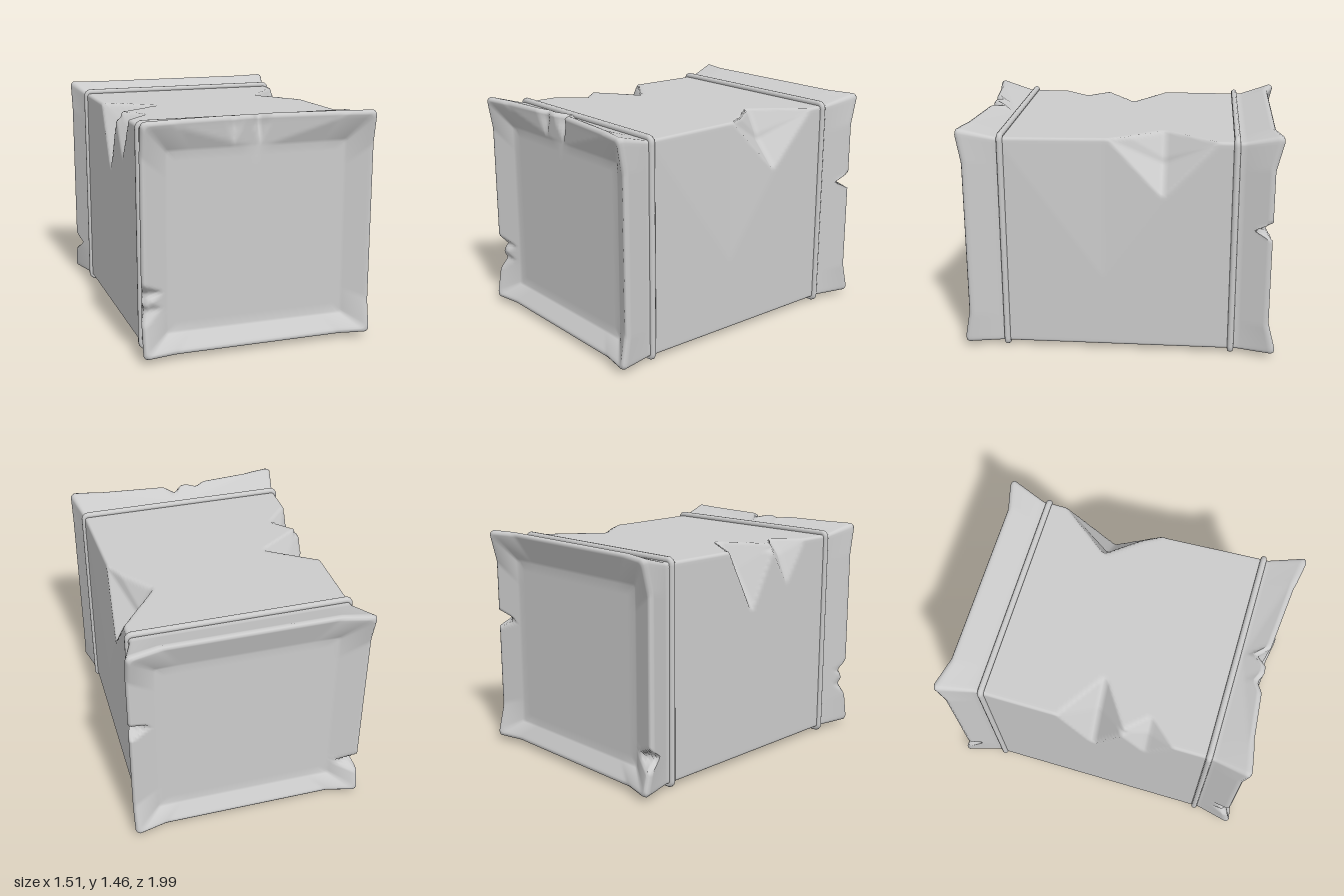
import * as THREE from 'three';

const ARC = 5, SIDE = 70; // samples per rounded corner and per straight side

// Rounded rectangle in xy, counter-clockwise, always the same number of points
function loop(x0, x1, y0, y1, r) {
  const pts = [], arcs = [];
  const corners = [[x1 - r, y1 - r], [x0 + r, y1 - r], [x0 + r, y0 + r], [x1 - r, y0 + r]];
  corners.forEach(([cx, cy], k) => {
    const arc = [];
    for (let i = 0; i < ARC; i++) {
      const a = (k + i / (ARC - 1)) * Math.PI / 2;
      arc.push([cx + r * Math.cos(a), cy + r * Math.sin(a)]);
    }
    arcs.push(arc);
  });
  arcs.forEach((arc, k) => {
    pts.push(...arc);
    const a = arc[ARC - 1], b = arcs[(k + 1) % 4][0];
    for (let i = 1; i < SIDE; i++) {
      const t = i / SIDE;
      pts.push([a[0] + (b[0] - a[0]) * t, a[1] + (b[1] - a[1]) * t]);
    }
  });
  return pts;
}

// Faceted dents: centre, reach along each axis, push at the centre
const dents = [
  // crushed top edges
  { c: [0.69, 1.40, -0.27], r: [0.26, 0.36, 0.34], p: [-0.15, -0.19, 0] },
  { c: [0.69, 1.40, 0.10], r: [0.12, 0.90, 0.65], p: [-0.03, 0, 0] },
  { c: [-0.69, 1.40, -0.01], r: [0.33, 0.42, 0.22], p: [0.17, -0.17, 0] },
  { c: [-0.69, 1.40, 0.33], r: [0.16, 0.28, 0.18], p: [0.08, -0.10, 0] },
  // front top lip, bowed in and nicked
  { c: [0, 1.46, 0.96], r: [0.62, 0.30, 0.25], p: [0, 0, -0.06] },
  { c: [0.02, 1.46, 0.95], r: [0.07, 0.25, 0.20], p: [0, -0.015, -0.07] },
  { c: [-0.15, 1.46, 0.95], r: [0.07, 0.25, 0.20], p: [0, -0.01, -0.04] },
  // nicks in the upright lips
  { c: [-0.74, 0.42, 0.96], r: [0.26, 0.07, 0.14], p: [0.03, 0, -0.06] },
  { c: [-0.74, 0.32, 0.96], r: [0.22, 0.09, 0.14], p: [0.03, 0, -0.05] },
  { c: [0.755, 0.86, -0.95], r: [0.22, 0.06, 0.14], p: [-0.03, 0, 0.11] },
  { c: [-0.755, 0.25, -0.95], r: [0.24, 0.07, 0.14], p: [0.04, 0, 0.10] },
];

function applyDents(v) {
  const out = [...v];
  for (const { c, r, p } of dents) {
    let d = 1;
    for (let k = 0; k < 3; k++) d -= Math.abs(v[k] - c[k]) / r[k];
    if (d > 0) for (let k = 0; k < 3; k++) out[k] += p[k] * d;
  }
  return out;
}

// Key cross-sections of one end, from the panel centre out to the strap
function endSections(s, halfX, rimZ) {
  const flat = (pts, z) => pts.map(([x, y]) => [x, y, s * z]);
  // rim whose four corners are drawn out to a point
  const rim = (inset, back) =>
    loop(-halfX + inset, halfX - inset, 0.03 + inset, 1.46 - inset, 0.03).map(([x, y]) => {
      const d = (halfX - Math.abs(x)) + Math.min(y - 0.03, 1.46 - y) - 2 * inset;
      return [x, y, s * (rimZ + (1 - rimZ) * Math.max(0, 1 - d / 0.2) - back)];
    });
  return [
    flat(loop(0, 0, 0.71, 0.71, 0), 0.89),
    flat(loop(-0.56, 0.57, 0.16, 1.26, 0.015), 0.89),
    rim(0.03, 0.004),
    rim(0.018, 0),
    rim(0.006, 0.006),
    rim(0, 0.022),
    flat(loop(-0.69, 0.69, 0.03, 1.40, 0.02), 0.76),
  ];
}

function baleGeometry() {
  const front = endSections(1, 0.742, 0.965);
  const back = endSections(-1, 0.757, 0.95).reverse();
  const keys = [...front, ...back];
  const steps = [10, 8, 1, 1, 1, 10, 70, 10, 1, 1, 1, 8, 10];
  const rows = [keys[0]];
  steps.forEach((n, k) => {
    for (let i = 1; i <= n; i++) {
      const t = i / n;
      rows.push(keys[k].map((a, j) => a.map((q, m) => q + (keys[k + 1][j][m] - q) * t)));
    }
  });
  const n = rows[0].length, pos = [], index = [];
  rows.forEach((row, i) => row.forEach((v, j) => {
    pos.push(...applyDents(v));
    if (i === rows.length - 1) return;
    const a = i * n + j, c = i * n + (j + 1) % n;
    index.push(a, a + n, c, c, a + n, c + n);
  }));
  const geo = new THREE.BufferGeometry();
  geo.setAttribute('position', new THREE.Float32BufferAttribute(pos, 3));
  geo.setIndex(index);
  geo.computeVertexNormals();
  return geo;
}

export function createModel() {
  const group = new THREE.Group();
  group.name = 'dentedBale';
  const mat = new THREE.MeshStandardMaterial({ color: 0xcccccc });

  // Body with flared ends and recessed end panels
  const body = new THREE.Mesh(baleGeometry(), mat);
  body.name = 'body';
  group.add(body);

  // Round straps near both ends
  const path = loop(-0.69, 0.69, 0.02, 1.41, 0.025).map(([x, y]) => new THREE.Vector3(x, y, 0));
  const strapGeo = new THREE.TubeGeometry(new THREE.CatmullRomCurve3(path, true), 400, 0.02, 10, true);
  [['frontStrap', 0.73], ['backStrap', -0.717]].forEach(([name, z]) => {
    const strap = new THREE.Mesh(strapGeo, mat);
    strap.name = name;
    strap.position.z = z;
    group.add(strap);
  });
  return group;
}
